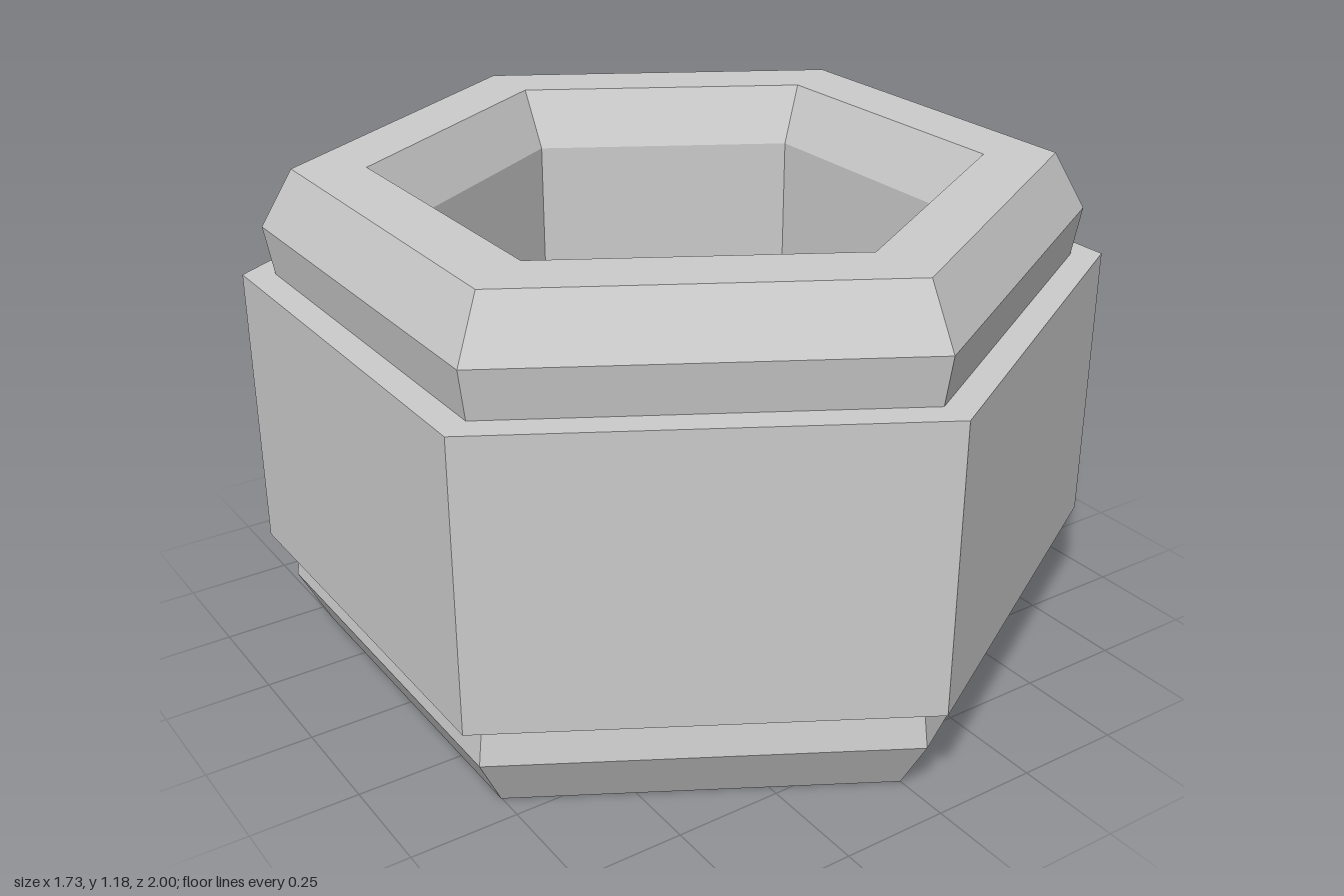
import * as THREE from 'three';

const HEIGHT = 1.18;
const material = new THREE.MeshStandardMaterial({ color: 0xcccccc, flatShading: true });

// Six-sided ring swept from a [radius, y] profile, with corners on +z and -z.
function hexRing(name, profile) {
  const points = profile.map(([r, y]) => new THREE.Vector2(r, y));
  const mesh = new THREE.Mesh(new THREE.LatheGeometry(points, 6), material);
  mesh.name = name;
  return mesh;
}

export function createModel() {
  const group = new THREE.Group();
  group.name = 'hexagonalCollar';

  // Wide band around the middle, with its top and bottom ledges
  group.add(hexRing('outerBand', [[0.925, 0.25], [1, 0.25], [1, 0.93], [0.925, 0.93]]));

  // Bevelled rims: outer flank, outer bevel, flat face, inner bevel
  const rim = [[0.925, 0.93], [0.945, 1.045], [0.868, HEIGHT], [0.7, HEIGHT], [0.625, 1.045]];
  group.add(hexRing('topRim', rim));
  const mirrored = rim.map(([r, y]) => [r, HEIGHT - y]).reverse();
  mirrored[mirrored.length - 1][1] = 0.25; // meets the band's lower ledge
  group.add(hexRing('bottomRim', mirrored));

  // Straight wall of the through hole
  group.add(hexRing('innerWall', [[0.625, 1.045], [0.625, 0.135]]));

  return group;
}
